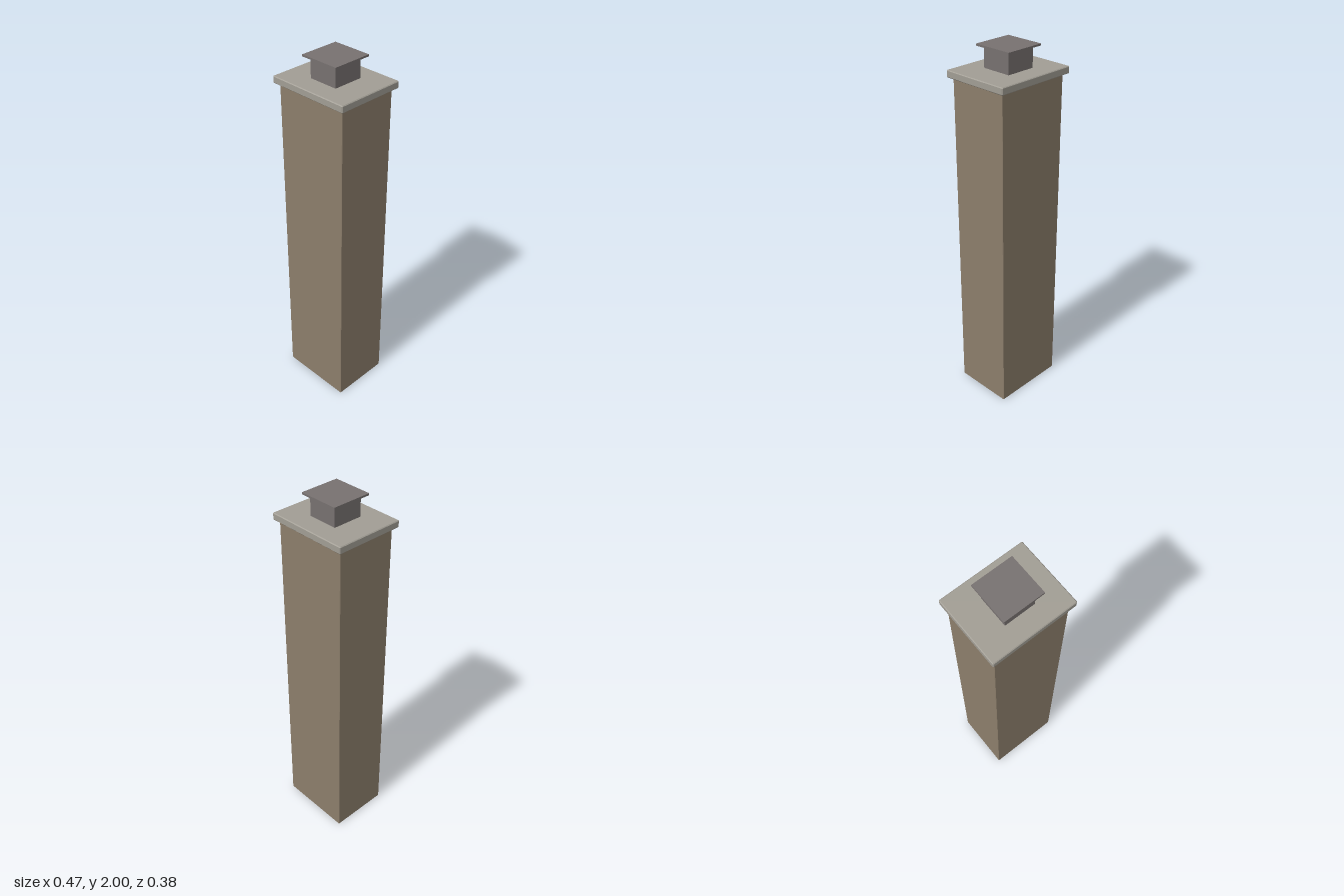
import * as THREE from 'three';
import { ConvexGeometry } from 'three/addons/geometries/ConvexGeometry.js';

// Box with chamfered edges: each corner becomes three points, one per face
function chamferBox(w, h, d, c) {
  const half = [w / 2, h / 2, d / 2];
  const points = [];
  for (const sx of [-1, 1]) for (const sy of [-1, 1]) for (const sz of [-1, 1]) {
    const signs = [sx, sy, sz];
    for (let face = 0; face < 3; face++) {
      points.push(new THREE.Vector3(...half.map((v, i) => signs[i] * (i === face ? v : v - c))));
    }
  }
  return new ConvexGeometry(points);
}

function material(name, color) {
  const m = new THREE.MeshStandardMaterial({ color });
  m.name = name;
  return m;
}

export function createModel() {
  const group = new THREE.Group();
  group.name = 'chimney';
  const masonry = material('brown masonry', 0x8c7e6b);
  const stone = material('pale grey stone', 0xa19d94);
  const metal = material('dark grey metal', 0x777170);

  // Add a block resting between two heights
  function add(name, geometry, mat, y0, y1) {
    const mesh = new THREE.Mesh(geometry, mat);
    mesh.name = name;
    mesh.position.y = (y0 + y1) / 2;
    group.add(mesh);
  }

  // Tall stack and its overhanging slab
  add('stack', chamferBox(0.42, 1.845, 0.336, 0.002), masonry, 0, 1.845);
  add('capSlab', chamferBox(0.466, 0.038, 0.382, 0.004), stone, 1.843, 1.881);

  // Square flue under a thin rain plate
  add('flue', new THREE.BoxGeometry(0.166, 0.112, 0.166), metal, 1.879, 1.991);
  add('rainPlate', new THREE.BoxGeometry(0.22, 0.01, 0.22), metal, 1.99, 2);

  return group;
}
